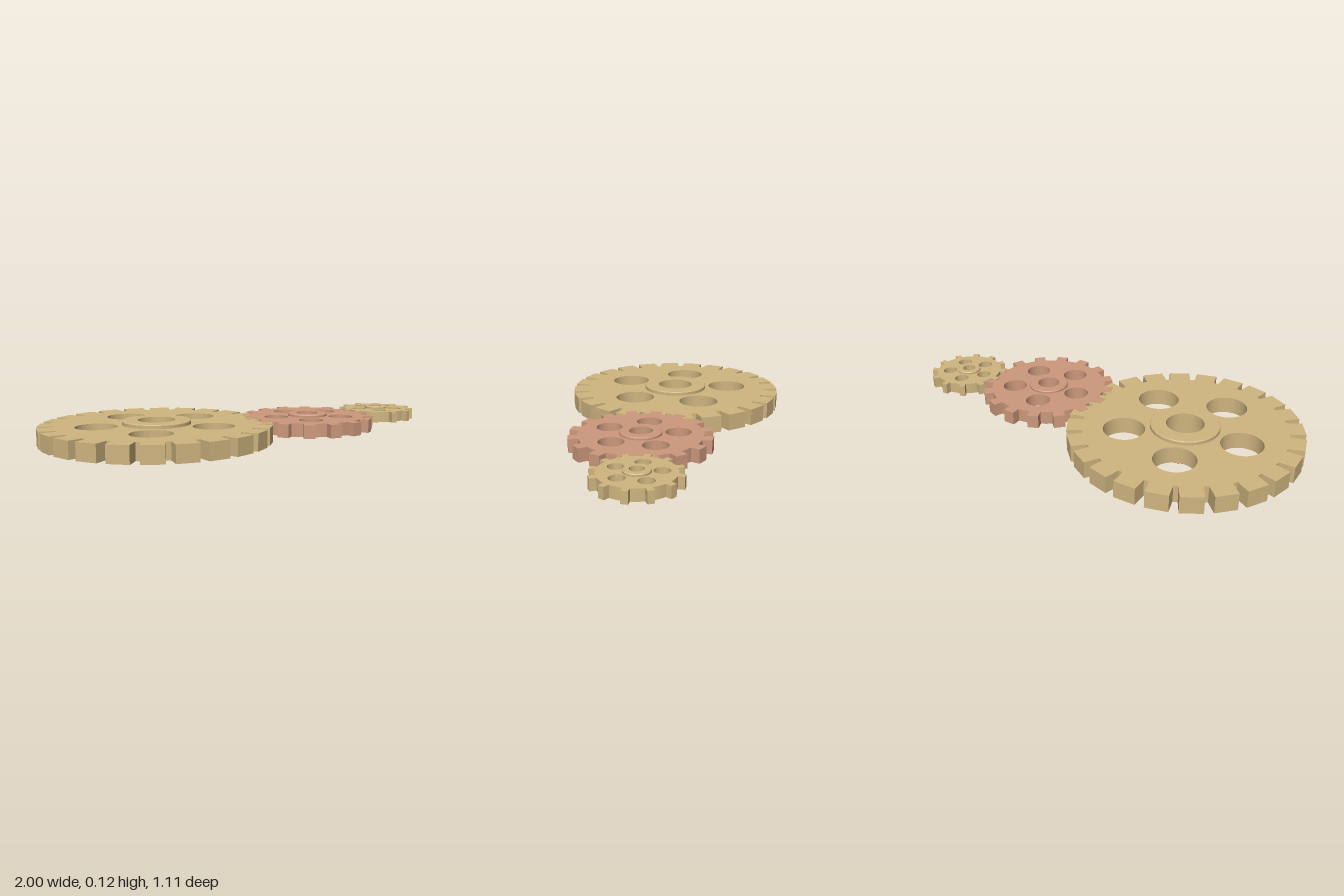
import * as THREE from 'three';
import { toCreasedNormals } from 'three/addons/utils/BufferGeometryUtils.js';

const brass = new THREE.MeshStandardMaterial({ color: 0xcfb580 });
const copper = new THREE.MeshStandardMaterial({ color: 0xcc997c });

function addMesh(parent, name, geometry, material) {
  const mesh = new THREE.Mesh(geometry, material);
  mesh.name = name;
  parent.add(mesh);
  return mesh;
}

// Flat wheel with five round lightening holes and an opening hidden inside the hub
function discGeometry(g) {
  const shape = new THREE.Shape().absarc(0, 0, g.disc, 0, Math.PI * 2);
  const addHole = (x, y, r) => shape.holes.push(new THREE.Path().absarc(x, y, r, 0, Math.PI * 2, true));
  for (let i = 0; i < 5; i++) {
    const a = Math.PI + (i * Math.PI * 2) / 5;
    addHole(Math.cos(a) * g.holeRing, Math.sin(a) * g.holeRing, g.hole);
  }
  addHole(0, 0, (g.hub + g.bore) / 2);
  const geometry = new THREE.ExtrudeGeometry(shape, { depth: g.top - g.bottom, bevelEnabled: false, curveSegments: 32 });
  geometry.rotateX(-Math.PI / 2).translate(0, g.bottom, 0);
  return toCreasedNormals(geometry, 0.5);
}

// Bored hub with a small chamfer on its outer rims
function hubGeometry(g) {
  const c = 0.004;
  const profile = [
    [g.bore, g.hubBottom], [g.hub - c, g.hubBottom], [g.hub, g.hubBottom + c],
    [g.hub, g.hubTop - c], [g.hub - c, g.hubTop], [g.bore, g.hubTop], [g.bore, g.hubBottom],
  ].map(([r, y]) => new THREE.Vector2(r, y));
  return toCreasedNormals(new THREE.LatheGeometry(profile, 48), 0.5);
}

function makeGear(g) {
  const gear = new THREE.Group();
  gear.name = g.name;
  addMesh(gear, 'disc', discGeometry(g), g.material);
  addMesh(gear, 'hub', hubGeometry(g), g.material);

  // Square teeth, set slightly into the rim
  const teeth = new THREE.Group();
  teeth.name = 'teeth';
  const inner = g.disc - 0.006;
  const tooth = new THREE.BoxGeometry(g.outer - inner, g.top - g.bottom, g.toothWidth);
  tooth.translate((g.outer + inner) / 2, (g.top + g.bottom) / 2, 0);
  for (let i = 0; i < g.teeth; i++) {
    addMesh(teeth, 'tooth', tooth, g.material).rotation.y = (i * Math.PI * 2) / g.teeth;
  }
  gear.add(teeth);
  gear.position.set(g.x, 0, g.z);
  return gear;
}

export function createModel() {
  const model = new THREE.Group();
  model.name = 'gearTrain';
  model.add(
    makeGear({
      name: 'largeGear', material: brass, x: -0.445, z: 0, teeth: 24, toothWidth: 0.104,
      outer: 0.555, disc: 0.483, holeRing: 0.288, hole: 0.099, hub: 0.165, bore: 0.09,
      bottom: 0.021, top: 0.103, hubBottom: 0, hubTop: 0.122,
    }),
    makeGear({
      name: 'middleGear', material: copper, x: 0.346, z: 0, teeth: 16, toothWidth: 0.056,
      outer: 0.332, disc: 0.29, holeRing: 0.172, hole: 0.06, hub: 0.099, bore: 0.054,
      bottom: 0.039, top: 0.104, hubBottom: 0.027, hubTop: 0.117,
    }),
    makeGear({
      name: 'smallGear', material: brass, x: 0.804, z: -0.097, teeth: 12, toothWidth: 0.03,
      outer: 0.196, disc: 0.168, holeRing: 0.101, hole: 0.035, hub: 0.059, bore: 0.032,
      bottom: 0.055, top: 0.109, hubBottom: 0.043, hubTop: 0.121,
    }),
  );
  return model;
}
